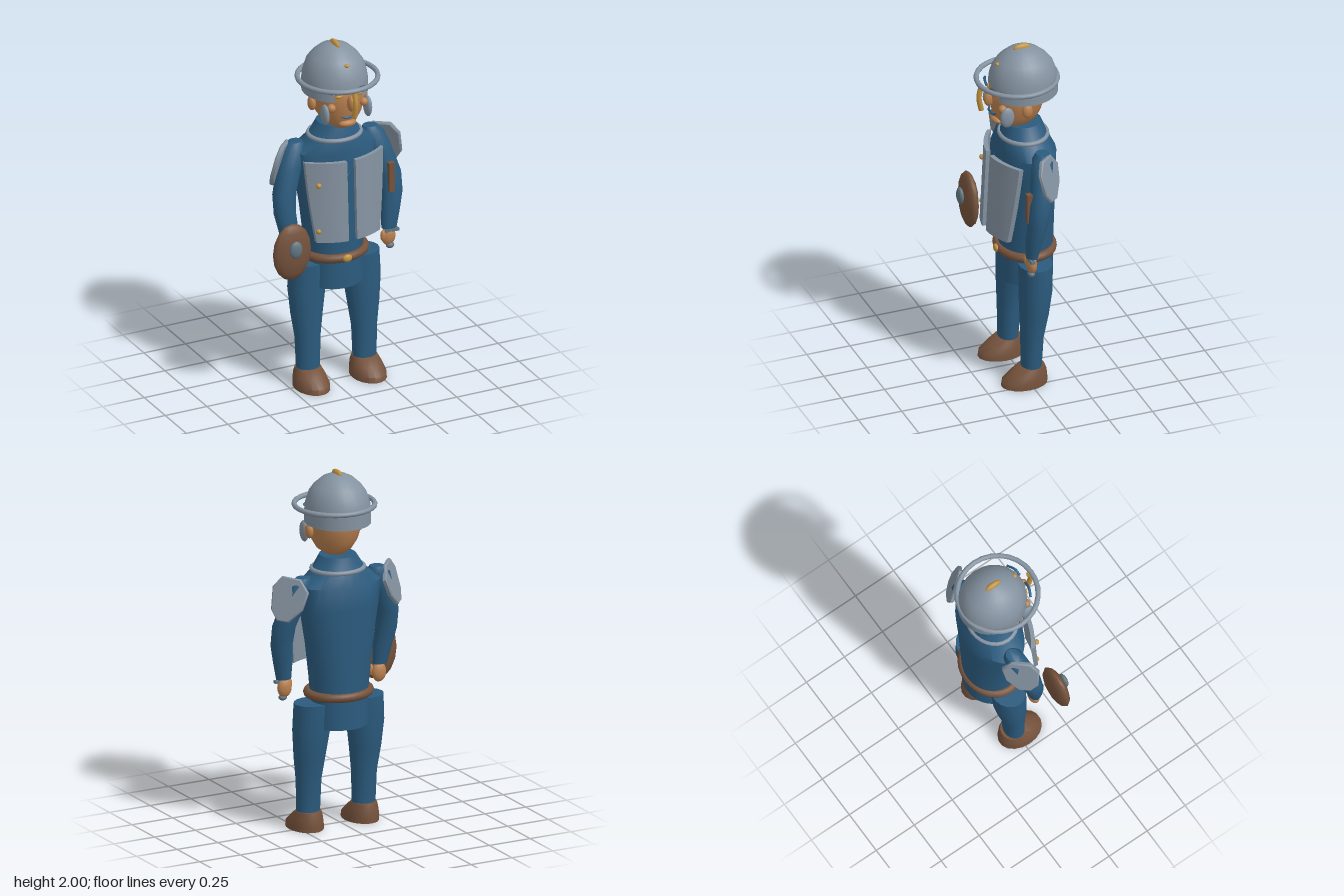
import * as THREE from 'three';
import { toCreasedNormals } from 'three/addons/utils/BufferGeometryUtils.js';

const mat = (name, color) => {
  const m = new THREE.MeshStandardMaterial({ color, side: THREE.DoubleSide });
  m.name = name;
  return m;
};

// Closed body from elliptical rings, bottom to top: [y, centreX, centreZ, radiusX, radiusZ]
function loft(rings, n = 18) {
  const pos = [], idx = [];
  for (const [y, cx, cz, rx, rz] of rings)
    for (let j = 0; j < n; j++) {
      const a = (j / n) * Math.PI * 2;
      pos.push(cx + Math.cos(a) * rx, y, cz + Math.sin(a) * rz);
    }
  for (let i = 0; i < rings.length - 1; i++)
    for (let j = 0; j < n; j++) {
      const a = i * n + j, b = i * n + ((j + 1) % n);
      idx.push(a, a + n, b, b, a + n, b + n);
    }
  const last = (rings.length - 1) * n;
  for (let j = 1; j < n - 1; j++) idx.push(0, j, j + 1, last, last + j + 1, last + j);
  const g = new THREE.BufferGeometry();
  g.setAttribute('position', new THREE.Float32BufferAttribute(pos, 3));
  g.setIndex(idx);
  return toCreasedNormals(g, 0.8);
}

// Half of the breastplate: a thin box bent around the chest
function breastplateHalf(s) {
  const g = new THREE.BoxGeometry(1, 1, 0.025, 8, 6, 1), p = g.attributes.position;
  for (let i = 0; i < p.count; i++) {
    const t = 0.5 + s * p.getX(i), v = p.getY(i) + 0.5;
    const x = 0.025 + t * (0.165 + 0.065 * v - 0.02 * v * v);
    p.setXYZ(i, s * x, 0.9 + 0.46 * v, p.getZ(i) + 0.177 - 0.022 * v - 1.6 * x * x);
  }
  return toCreasedNormals(g, 0.7);
}

export function createModel() {
  const blue = mat('blue cloth', 0x2b5b7e), grey = mat('steel', 0x8492a0);
  const skin = mat('skin', 0xb9804f), brown = mat('leather', 0x75523c);
  const gold = mat('brass', 0xc0923f), dark = mat('dark steel', 0x627680);

  const model = new THREE.Group();
  const man = new THREE.Group();
  man.name = 'soldier';
  man.position.x = 0.035;
  model.add(man);

  const add = (name, geo, m, x = 0, y = 0, z = 0) => {
    const mesh = new THREE.Mesh(geo, m);
    mesh.name = name;
    mesh.position.set(x, y, z);
    man.add(mesh);
    return mesh;
  };
  const ball = (name, m, x, y, z, rx, ry = rx, rz = rx, w = 14, h = 10) => {
    const g = new THREE.SphereGeometry(1, w, h);
    g.scale(rx, ry, rz);
    return add(name, g, m, x, y, z);
  };
  const tube = (name, m, pts, r) => add(name, new THREE.TubeGeometry(
    new THREE.CatmullRomCurve3(pts.map(p => new THREE.Vector3(...p))), 10, r, 8), m);
  // Horizontal ring with elliptical outline
  const ring = (name, m, y, z, rx, rz, t) => {
    const g = new THREE.TorusGeometry(1, t / rx, 10, 28);
    g.rotateX(Math.PI / 2);
    g.scale(rx, rx, rz);
    return add(name, g, m, 0, y, z);
  };

  // Torso, collar and belt
  add('torso', loft([
    [0.7, 0, -0.05, 0.155, 0.145], [0.85, 0, -0.05, 0.17, 0.148], [1.05, 0, -0.05, 0.195, 0.15],
    [1.25, 0, -0.05, 0.23, 0.15], [1.38, 0, -0.05, 0.245, 0.15], [1.45, 0, -0.037, 0.15, 0.128],
    [1.53, 0, -0.035, 0.1, 0.1]], 24), blue);
  ring('collarRing', grey, 1.453, -0.037, 0.145, 0.127, 0.013);
  ring('belt', brown, 0.762, -0.045, 0.172, 0.148, 0.025);
  ball('buckle', gold, 0, 0.764, 0.12, 0.028, 0.022, 0.014);

  // Tunic flaps at front and back
  for (const [name, start] of [['frontFlap', -1.15], ['backFlap', Math.PI - 1.15]]) {
    const g = new THREE.CylinderGeometry(0.16, 0.162, 0.17, 14, 1, true, start, 2.3);
    g.scale(1, 1, 0.92);
    add(name, g, blue, 0, 0.665, -0.048);
  }

  // Parts that come in pairs
  for (const s of [-1, 1]) {
    add('leg', loft([
      [0.08, s * 0.17, -0.015, 0.066, 0.055], [0.28, s * 0.17, -0.02, 0.072, 0.062],
      [0.42, s * 0.17, -0.032, 0.09, 0.078], [0.57, s * 0.165, -0.042, 0.107, 0.09],
      [0.72, s * 0.155, -0.045, 0.11, 0.092]]), blue);
    add('boot', loft([
      [0, s * 0.17, 0.025, 0.094, 0.13], [0.03, s * 0.17, 0.023, 0.094, 0.127],
      [0.07, s * 0.17, 0, 0.084, 0.1], [0.105, s * 0.17, -0.018, 0.07, 0.07]]), brown);
    add('arm', loft([
      [0.85, s * 0.295, 0.03, 0.043, 0.032], [0.95, s * 0.305, 0.022, 0.055, 0.045],
      [1.05, s * 0.32, 0.008, 0.062, 0.052], [1.16, s * 0.315, -0.01, 0.066, 0.06],
      [1.3, s * 0.27, -0.04, 0.07, 0.062], [1.4, s * 0.235, -0.055, 0.068, 0.056],
      [1.435, s * 0.225, -0.06, 0.04, 0.035]]), blue);
    ball('hand', skin, s * 0.29, 0.8, 0.03, 0.042, 0.055, 0.028);
    ball('thumb', skin, s * 0.25, 0.812, 0.045, 0.014, 0.032, 0.014);

    // Shoulder plate facing outward and backward
    const outline = [[-0.095, -0.06], [-0.06, -0.115], [0, -0.12], [0.07, -0.05],
      [0.095, 0.04], [0.05, 0.105], [-0.05, 0.115], [-0.095, 0.06]];
    const shape = new THREE.Shape(outline.map(([x, y]) => new THREE.Vector2(s * x, y)));
    const plate = new THREE.ExtrudeGeometry(shape,
      { depth: 0.014, bevelSize: 0.006, bevelThickness: 0.006, bevelSegments: 1 });
    const pad = add('shoulderPlate', toCreasedNormals(plate, 0.7), grey, s * 0.305, 1.325, -0.065);
    pad.rotation.set(-0.25, Math.PI - s * 0.8, 0, 'YXZ');

    add('breastplate', breastplateHalf(s), grey);

    // Face and head details
    ball('ear', skin, s * 0.155, 1.67, 0, 0.022, 0.042, 0.03);
    ball('cheekGuard', grey, s * 0.128, 1.637, 0.105, 0.02, 0.06, 0.04);
    ball('cheek', skin, s * 0.097, 1.675, 0.12, 0.024);
    ball('eye', gold, s * 0.06, 1.743, 0.138, 0.02, 0.01, 0.012);
    tube('eyebrow', blue, [[s * 0.025, 1.77, 0.165], [s * 0.065, 1.785, 0.16], [s * 0.11, 1.77, 0.14]], 0.007);
    tube('moustache', blue, [[0, 1.618, 0.15], [s * 0.025, 1.615, 0.152], [s * 0.045, 1.622, 0.14]], 0.006);
  }
  for (const y of [0.965, 1.235]) ball('stud', gold, -0.178, y, 0.13, 0.015);
  tube('lacing', blue, [[-0.03, 1.28, 0.105], [0, 1.25, 0.112], [0.03, 1.28, 0.105]], 0.006);

  // Head
  add('head', loft([
    [1.53, 0, 0.015, 0.055, 0.08], [1.555, 0, 0.01, 0.09, 0.11], [1.61, 0, 0.004, 0.125, 0.135],
    [1.69, 0, -0.002, 0.145, 0.152], [1.78, 0, -0.005, 0.15, 0.155], [1.86, 0, -0.02, 0.11, 0.11]], 22), skin);
  ball('nose', skin, 0, 1.7, 0.16, 0.02, 0.045, 0.03);
  ball('mouth', skin, 0, 1.57, 0.12, 0.052, 0.022, 0.03);
  tube('noseGuard', gold, [[0, 1.785, 0.205], [0, 1.72, 0.218], [0, 1.64, 0.205]], 0.015);

  // Helmet: dome, open-fronted neck band, rim and crest
  const profile = pts => pts.map(([r, y]) => new THREE.Vector2(r, y));
  const dome = new THREE.LatheGeometry(profile([[0.176, 1.78], [0.172, 1.82], [0.155, 1.875],
    [0.128, 1.915], [0.085, 1.955], [0.04, 1.977], [0, 1.982]]), 24);
  const band = new THREE.LatheGeometry(profile([[0.177, 1.71], [0.176, 1.785]]), 24, 0.5, Math.PI * 2 - 1);
  for (const [name, g] of [['helmetDome', dome], ['helmetBand', band]]) {
    g.scale(1, 1, 1.08);
    add(name, g, grey, 0, 0, -0.035);
  }
  ring('helmetRim', grey, 1.8, 0, 0.217, 0.219, 0.014);
  ball('crest', gold, 0, 1.975, -0.03, 0.017, 0.025, 0.05);
  ball('helmetStud', gold, 0, 1.903, 0.112, 0.014, 0.01, 0.012);

  // Shield by the right hand
  ball('shield', brown, -0.345, 0.885, 0.142, 0.115, 0.165, 0.042, 12, 8);
  ball('shieldBoss', dark, -0.345, 0.915, 0.19, 0.038, 0.05, 0.018);

  // Scabbard on the left arm and grip in the left hand
  add('scabbard', new THREE.BoxGeometry(0.035, 0.17, 0.03), brown, 0.298, 1.155, 0.047);
  add('grip', new THREE.CylinderGeometry(0.013, 0.013, 0.1, 10), dark, 0.3, 0.79, 0.035);
  ball('pommel', dark, 0.298, 0.745, 0.035, 0.024, 0.018, 0.02);
  add('guard', new THREE.BoxGeometry(0.08, 0.016, 0.025), dark, 0.305, 0.835, 0.04);

  return model;
}
